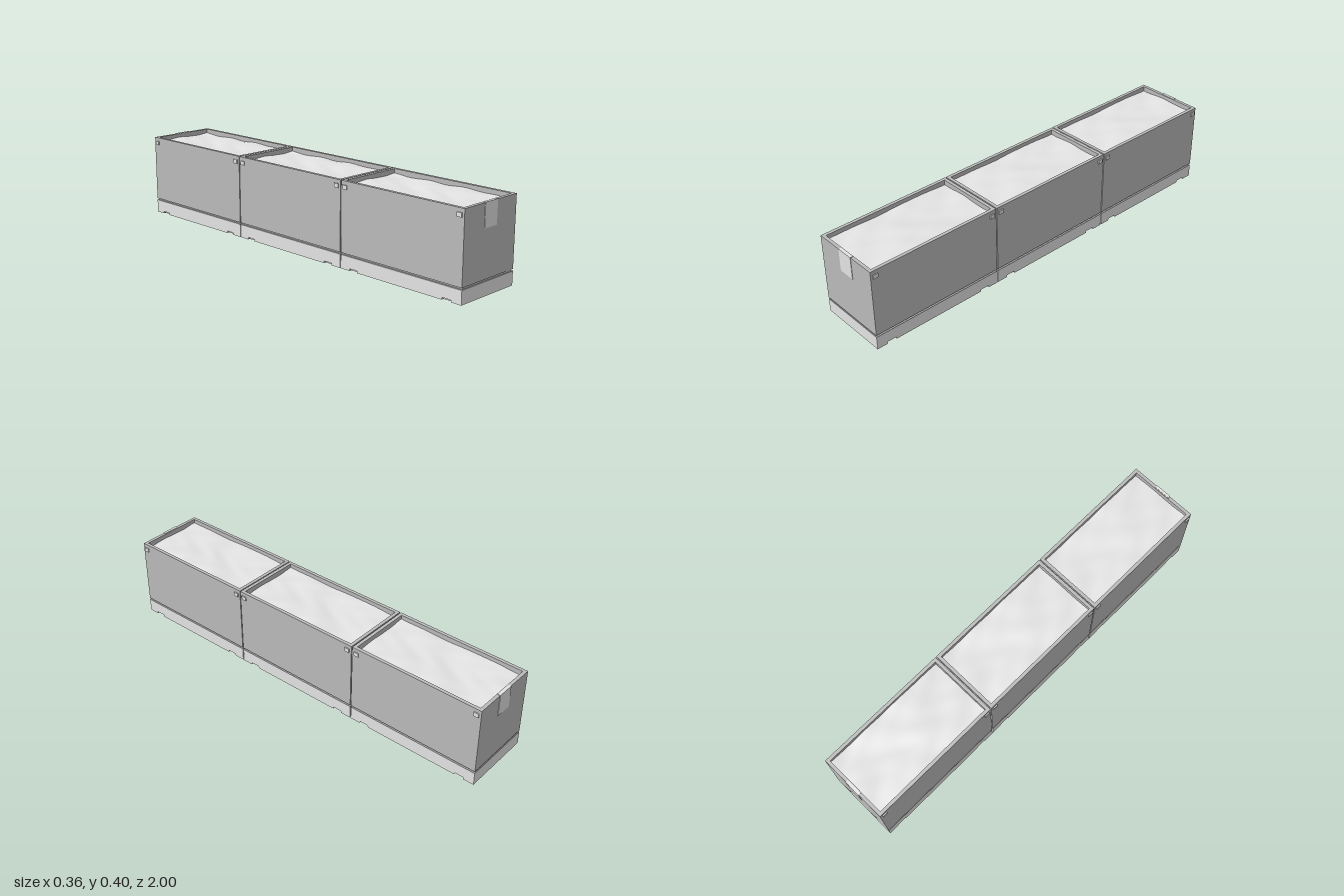
import * as THREE from 'three';

const HALF_W = 0.173, HALF_L = 0.331, PITCH = 0.667, WALL = 0.016;

const darkGrey = new THREE.MeshStandardMaterial({ color: 0xbbbbbb });
darkGrey.name = 'darkGrey';
const lightGrey = new THREE.MeshStandardMaterial({ color: 0xe4e4e4 });
lightGrey.name = 'lightGrey';

function add(parent, name, geometry, material, x = 0, y = 0, z = 0) {
  const mesh = new THREE.Mesh(geometry, material);
  mesh.name = name;
  mesh.position.set(x, y, z);
  parent.add(mesh);
  return mesh;
}

// Box given by its centre in x and z, and its bottom and top
function block(parent, name, w, y0, y1, d, material, x = 0, z = 0) {
  return add(parent, name, new THREE.BoxGeometry(w, y1 - y0, d), material, x, (y0 + y1) / 2, z);
}

function rectangle(target, hw, hl) {
  target.moveTo(-hw, -hl);
  target.lineTo(hw, -hl);
  target.lineTo(hw, hl);
  target.lineTo(-hw, hl);
  target.closePath();
  return target;
}

// Open box wall, extruded upwards
function wallGeometry(y0, y1) {
  const shape = rectangle(new THREE.Shape(), HALF_W, HALF_L);
  shape.holes.push(rectangle(new THREE.Path(), HALF_W - WALL, HALF_L - WALL));
  const geometry = new THREE.ExtrudeGeometry(shape, { depth: y1 - y0, bevelEnabled: false });
  return geometry.rotateX(-Math.PI / 2).translate(0, y0, 0);
}

// Gently rolling fill surface with uneven mounds
function fillGeometry() {
  const geometry = new THREE.PlaneGeometry(2 * (HALF_W - WALL), 2 * (HALF_L - WALL), 24, 48);
  geometry.rotateX(-Math.PI / 2);
  const p = geometry.attributes.position;
  for (let i = 0; i < p.count; i++) {
    const x = p.getX(i), z = p.getZ(i);
    const y = 0.376
      + 0.004 * Math.sin(12 * z + 0.6) * Math.cos(11 * x - 0.5)
      + 0.003 * Math.sin(26 * x + 2 * Math.sin(9 * z)) * Math.cos(15 * z + 1.1)
      + 0.0015 * Math.sin(33 * z + 1.5 * Math.sin(24 * x)) * Math.cos(37 * x + 0.8);
    p.setY(i, y);
  }
  geometry.computeVertexNormals();
  return geometry;
}

// Base side panel with two shallow notches along the lower edge
function skirtGeometry(height, thickness) {
  const s = new THREE.Shape();
  s.moveTo(-HALF_L, 0);
  for (const c of [-HALF_L + 0.075, HALF_L - 0.075]) {
    s.lineTo(c - 0.024, 0);
    s.lineTo(c - 0.022, 0.01);
    s.lineTo(c + 0.022, 0.01);
    s.lineTo(c + 0.024, 0);
  }
  s.lineTo(HALF_L, 0);
  s.lineTo(HALF_L, height);
  s.lineTo(-HALF_L, height);
  s.closePath();
  const geometry = new THREE.ExtrudeGeometry(s, { depth: thickness, bevelEnabled: false });
  return geometry.translate(0, 0, -thickness / 2).rotateY(Math.PI / 2);
}

function createPlanter() {
  const planter = new THREE.Group();
  planter.name = 'planter';
  const T = 0.012, BASE = 0.06;

  // Base: core with notched sides and a thin dark lid
  block(planter, 'baseCore', 2 * (HALF_W - T), 0, BASE, 2 * HALF_L, lightGrey);
  for (const side of [-1, 1]) {
    add(planter, 'baseSide', skirtGeometry(BASE, T), lightGrey, side * (HALF_W - T / 2));
  }
  block(planter, 'baseLid', 2 * HALF_W, BASE, 0.065, 2 * HALF_L, darkGrey);

  // Neck, floor and walls
  block(planter, 'neck', 0.328, 0.065, 0.074, 2 * HALF_L - 0.006, darkGrey);
  block(planter, 'floor', 2 * (HALF_W - WALL), 0.073, 0.083, 2 * (HALF_L - WALL), darkGrey);
  add(planter, 'walls', wallGeometry(0.073, 0.398), darkGrey);
  add(planter, 'fill', fillGeometry(), lightGrey);

  // Small tabs on the upper corners of both sides
  for (const sx of [-1, 1]) {
    for (const sz of [-1, 1]) {
      block(planter, 'sideTab', 0.008, 0.361, 0.38, 0.024, lightGrey, sx * 0.174, sz * (HALF_L - 0.023));
    }
  }
  return planter;
}

export function createModel() {
  const model = new THREE.Group();
  model.name = 'planterRow';

  for (const i of [-1, 0, 1]) {
    const planter = createPlanter();
    planter.position.z = i * PITCH;
    model.add(planter);
  }

  for (const s of [-1, 1]) {
    // Recessed joint between neighbouring planters
    block(model, 'joint', 0.325, 0.01, 0.385, PITCH - 2 * HALF_L, darkGrey, 0, s * PITCH / 2);
    // End plate folded over the rim
    const end = PITCH + HALF_L;
    block(model, 'endPlate', 0.082, 0.291, 0.4, 0.002, lightGrey, 0, s * (end + 0.001));
    block(model, 'endPlateLip', 0.082, 0.398, 0.4, 0.012, lightGrey, 0, s * (end - 0.006));
  }
  return model;
}
